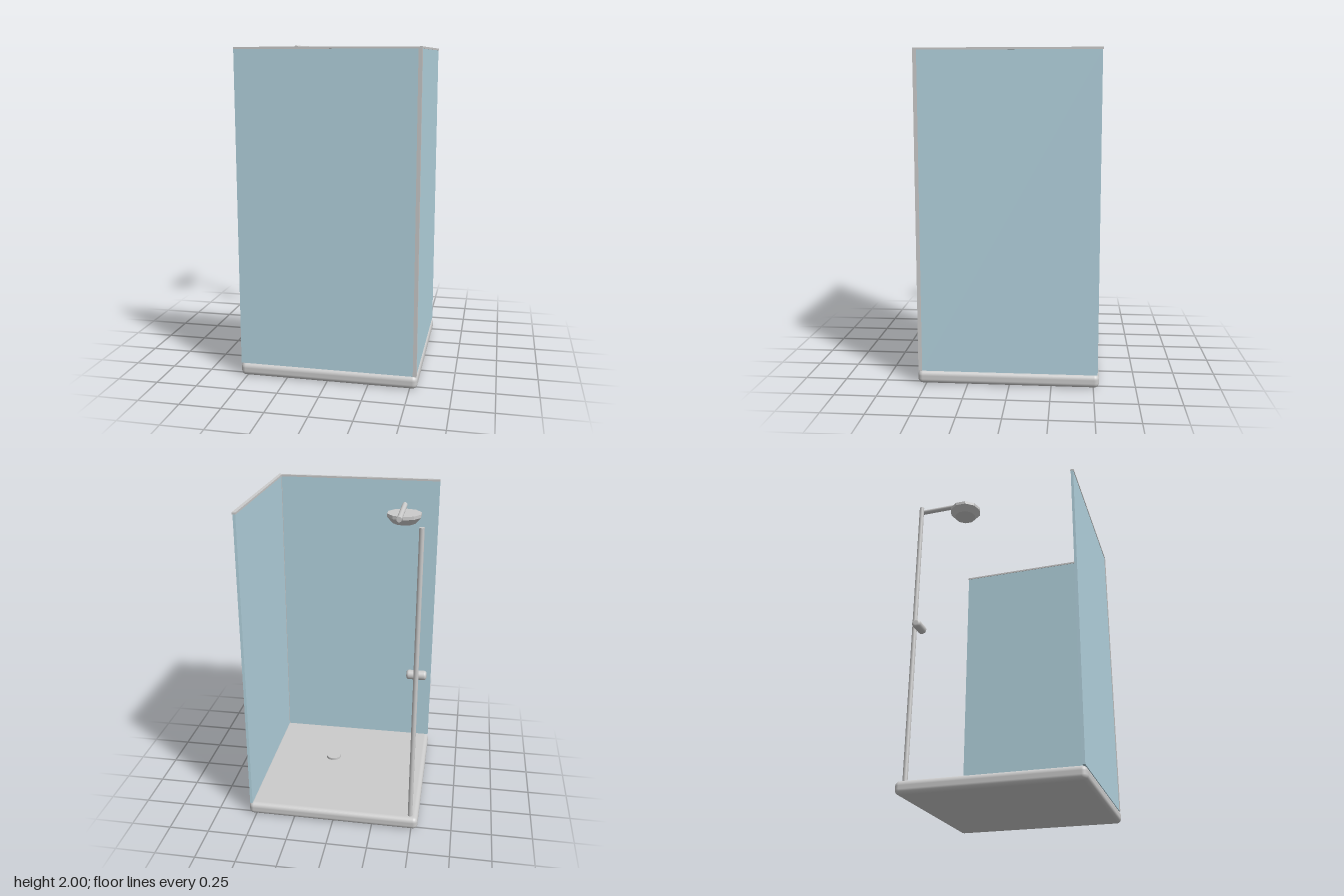
import * as THREE from 'three';
import { RoundedBoxGeometry } from 'three/addons/geometries/RoundedBoxGeometry.js';

const grey = new THREE.MeshStandardMaterial({ color: 0xcccccc });
const faceted = new THREE.MeshStandardMaterial({ color: 0xcccccc, flatShading: true });
const glass = new THREE.MeshStandardMaterial({ color: 0xb4d4e0 });

export function createModel() {
  const model = new THREE.Group();
  model.name = 'showerCubicle';

  const add = (name, geometry, x, y, z, material = grey) => {
    const mesh = new THREE.Mesh(geometry, material);
    mesh.name = name;
    mesh.position.set(x, y, z);
    model.add(mesh);
    return mesh;
  };

  // Rounded floor tray and drain cover
  add('tray', new RoundedBoxGeometry(1.085, 0.08, 1.085, 5, 0.03), 0.003, 0.04, 0.008);
  add('drain', new THREE.CylinderGeometry(0.049, 0.049, 0.02, 32), 0.103, 0.085, 0.108);

  // Two glass walls, meeting at the front left corner
  const bottom = 0.08, top = 1.97, mid = (bottom + top) / 2, height = top - bottom;
  add('frontGlass', new THREE.BoxGeometry(1.055, height, 0.016), -0.008, mid, 0.534, glass);
  add('sideGlass', new THREE.BoxGeometry(0.016, height, 1.05), 0.53, mid, 0, glass);

  // Corner post and top rails
  add('cornerPost', new THREE.BoxGeometry(0.022, height, 0.022), 0.53, mid, 0.534);
  add('frontRail', new THREE.BoxGeometry(1.076, 0.012, 0.022), 0.003, top + 0.005, 0.534);
  add('sideRail', new THREE.BoxGeometry(0.022, 0.012, 1.053), 0.53, top + 0.005, -0.003);

  // Riser pipe
  add('riserPipe', new THREE.CylinderGeometry(0.0145, 0.0145, 1.855, 16), -0.49, 1.0025, -0.489);

  // Mixer valve: a cylinder with rounded ends, lying along x
  const r = 0.0275, bevel = 0.015, half = 0.058;
  const profile = [new THREE.Vector2(0, -half)];
  for (const side of [-1, 1]) {
    for (let i = 0; i <= 5; i++) {
      const a = (side < 0 ? i - 5 : i) / 5 * Math.PI / 2;
      profile.push(new THREE.Vector2(r - bevel + bevel * Math.cos(a), side * (half - bevel) + bevel * Math.sin(a)));
    }
  }
  profile.push(new THREE.Vector2(0, half));
  add('mixerValve', new THREE.LatheGeometry(profile, 24), -0.491, 1.047, -0.458).rotation.z = Math.PI / 2;

  // Overhead arm
  add('showerArm', new THREE.CylinderGeometry(0.015, 0.015, 0.336, 16), -0.373, 1.985, -0.388).rotation.x = Math.PI / 2;

  // Ten-sided shower head: short rim above a tapered underside
  const head = [[0, 0], [0.068, 0], [0.1, 0.037], [0.1, 0.056], [0, 0.056]].map(p => new THREE.Vector2(...p));
  add('showerHead', new THREE.LatheGeometry(head, 10), -0.373, 1.885, -0.227, faceted);

  return model;
}
